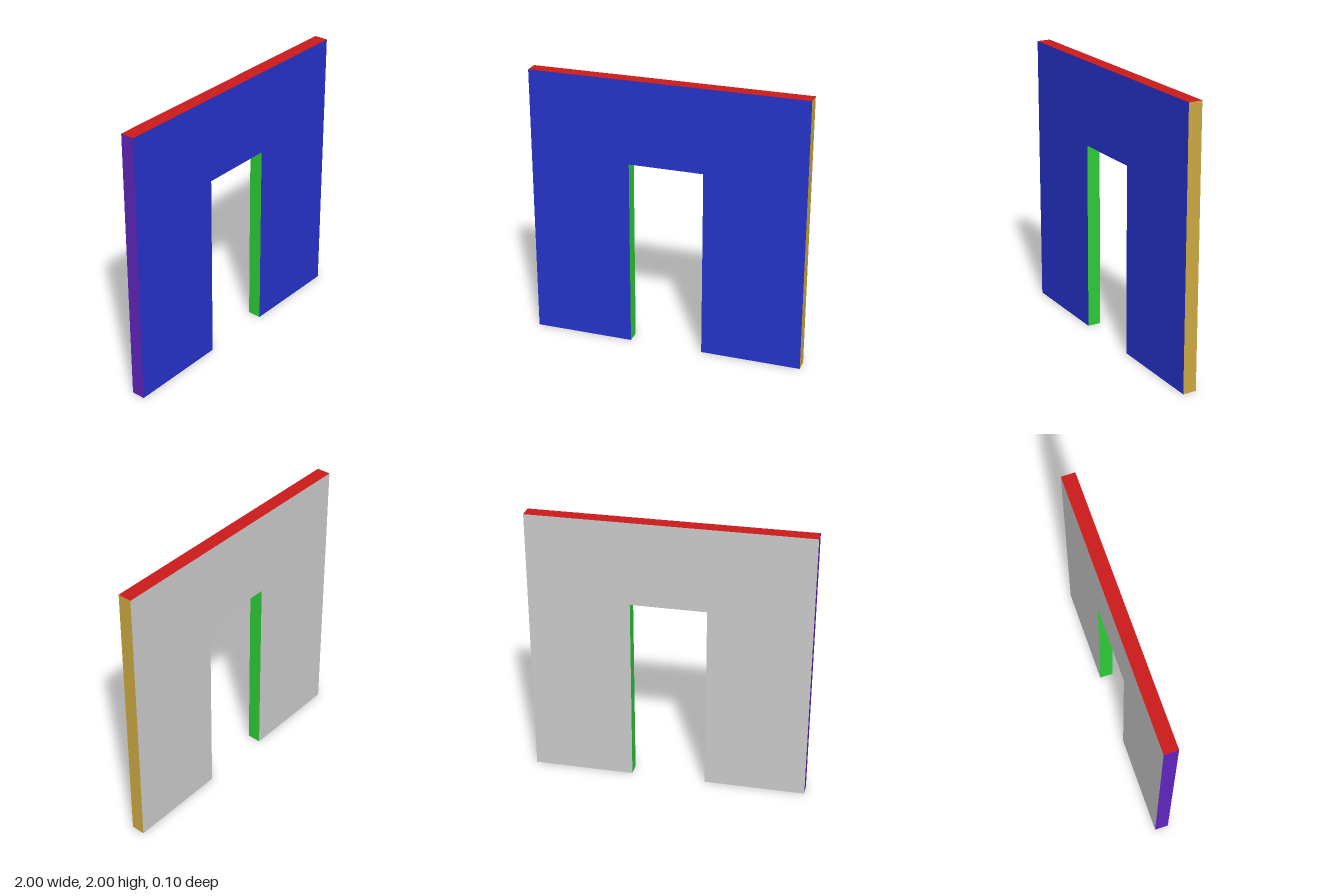
import * as THREE from 'three';

const HALF_WIDTH = 1, HEIGHT = 2, DEPTH = 0.1;
const DOOR_HALF = 0.27, DOOR_HEIGHT = 1.39;

const paint = (color) => new THREE.MeshStandardMaterial({ color });
const blue = paint(0x2633cc), grey = paint(0xcccccc), red = paint(0xcc1a1a);
const gold = paint(0xccaa40), purple = paint(0x6024be), green = paint(0x2dcc38);

// Outline of the wall with the doorway cut up from the floor, counter-clockwise.
// Each entry is a corner plus the name and paint of the edge leaving it.
const outline = [
  [-HALF_WIDTH, 0, 'rightFoot', red],
  [-DOOR_HALF, 0, 'doorJambRight', green],
  [-DOOR_HALF, DOOR_HEIGHT, 'doorLintel', green],
  [DOOR_HALF, DOOR_HEIGHT, 'doorJambLeft', green],
  [DOOR_HALF, 0, 'leftFoot', red],
  [HALF_WIDTH, 0, 'leftEnd', gold],
  [HALF_WIDTH, HEIGHT, 'topEdge', red],
  [-HALF_WIDTH, HEIGHT, 'rightEnd', purple],
];

export function createModel() {
  const model = new THREE.Group();
  model.name = 'wallWithDoorway';

  function add(name, geometry, material) {
    const mesh = new THREE.Mesh(geometry, material);
    mesh.name = name;
    model.add(mesh);
  }

  // Front and back faces; the outline is symmetric, so the back is a half turn
  const shape = new THREE.Shape(outline.map(([x, y]) => new THREE.Vector2(x, y)));
  add('frontFace', new THREE.ShapeGeometry(shape).translate(0, 0, DEPTH / 2), blue);
  add('backFace', new THREE.ShapeGeometry(shape).rotateY(Math.PI).translate(0, 0, -DEPTH / 2), grey);

  // One strip across the thickness for every edge, facing outwards
  outline.forEach(([x, y, name, material], i) => {
    const [nx, ny] = outline[(i + 1) % outline.length];
    const strip = new THREE.PlaneGeometry(Math.hypot(nx - x, ny - y), DEPTH)
      .rotateX(Math.PI / 2)
      .rotateZ(Math.atan2(ny - y, nx - x))
      .translate((x + nx) / 2, (y + ny) / 2, 0);
    add(name, strip, material);
  });

  return model;
}
